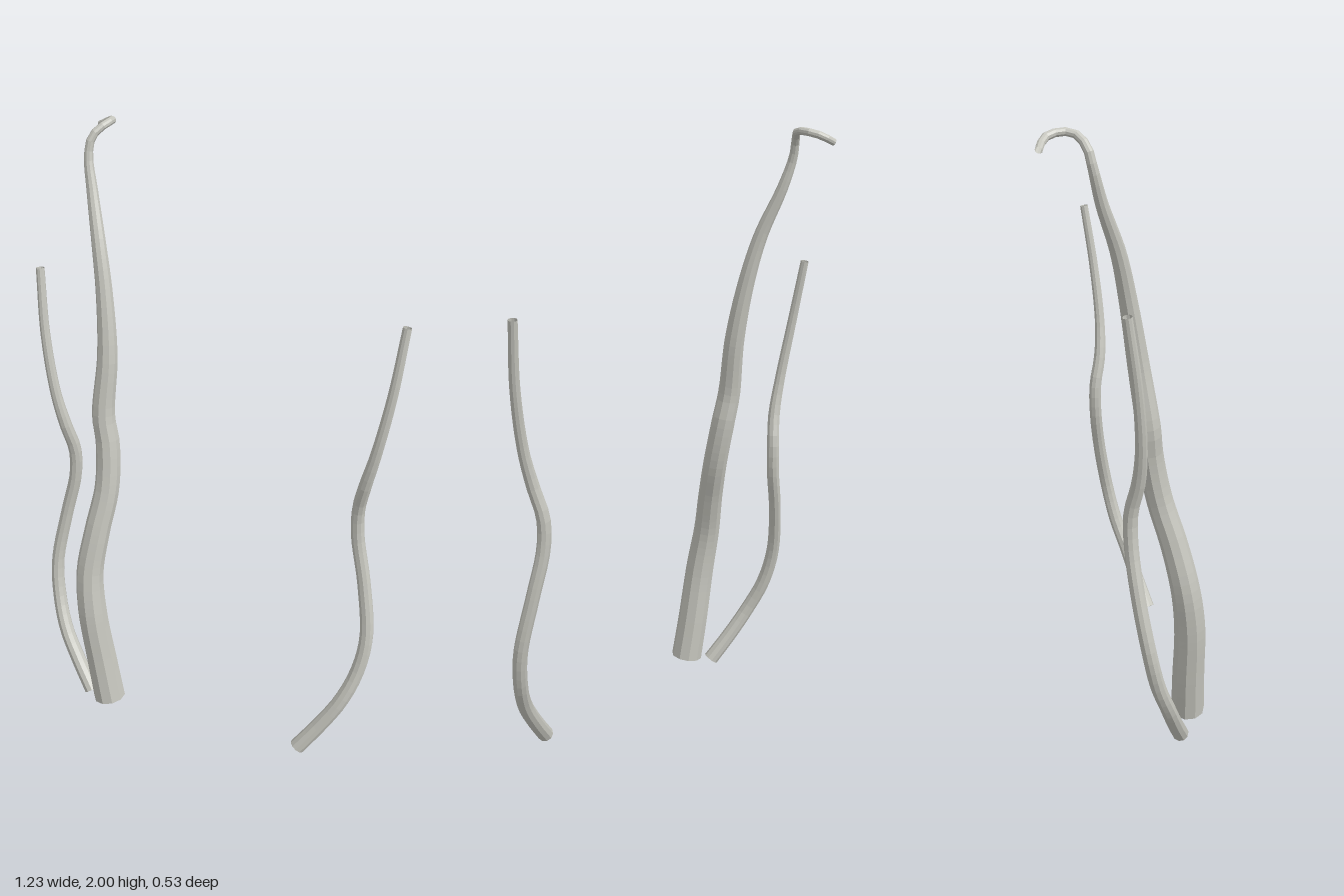
import * as THREE from 'three';

const paleGrey = new THREE.MeshStandardMaterial({ color: 0xc6c6be, flatShading: true, side: THREE.DoubleSide });
paleGrey.name = 'paleGrey';

// Tapered open tube through [x, y, z, radius] stations
function tendril(name, stations, segments, sides) {
  const curve = new THREE.CatmullRomCurve3(stations.map(([x, y, z]) => new THREE.Vector3(x, y, z)));
  curve.arcLengthDivisions = 600;
  const geo = new THREE.TubeGeometry(curve, segments, 1, sides);
  const pos = geo.attributes.position;
  const v = new THREE.Vector3();
  for (let i = 0; i <= segments; i++) {
    const u = i / segments;
    const centre = curve.getPointAt(u);
    const t = curve.getUtoTmapping(u) * (stations.length - 1);
    const k = Math.min(Math.floor(t), stations.length - 2);
    const radius = THREE.MathUtils.lerp(stations[k][3], stations[k + 1][3], t - k);
    for (let j = 0; j <= sides; j++) {
      const n = i * (sides + 1) + j;
      v.fromBufferAttribute(pos, n).sub(centre).multiplyScalar(radius).add(centre);
      pos.setXYZ(n, v.x, v.y, v.z);
    }
  }
  geo.computeVertexNormals();
  const mesh = new THREE.Mesh(geo, paleGrey);
  mesh.name = name;
  return mesh;
}

export function createModel() {
  const group = new THREE.Group();
  group.name = 'tendrils';

  // Tall thick tendril with a curled tip
  group.add(tendril('tallTendril', [
    [-0.30, 0.05, 0.21, 0.055],
    [-0.325, 0.2, 0.205, 0.053],
    [-0.355, 0.4, 0.2, 0.05],
    [-0.367, 0.55, 0.18, 0.046],
    [-0.35, 0.7, 0.145, 0.043],
    [-0.329, 0.85, 0.1, 0.041],
    [-0.334, 1.0, 0.07, 0.04],
    [-0.35, 1.1, 0.06, 0.038],
    [-0.342, 1.3, 0.03, 0.033],
    [-0.36, 1.5, -0.003, 0.027],
    [-0.388, 1.65, -0.035, 0.023],
    [-0.428, 1.8, -0.085, 0.018],
    [-0.448, 1.9, -0.11, 0.014],
    [-0.44, 1.955, -0.125, 0.013],
    [-0.413, 1.985, -0.155, 0.012],
    [-0.407, 1.988, -0.195, 0.012],
    [-0.43, 1.978, -0.235, 0.012],
    [-0.475, 1.955, -0.253, 0.011],
  ], 72, 10));

  // Mirrored pair of slender tendrils
  for (const [name, side] of [['rightTendril', -1], ['leftTendril', 1]]) {
    group.add(tendril(name, [
      [0.39, 0.018, 0.172, 0.027],
      [0.455, 0.11, 0.14, 0.026],
      [0.515, 0.21, 0.108, 0.025],
      [0.555, 0.32, 0.07, 0.024],
      [0.57, 0.45, 0.04, 0.023],
      [0.54, 0.64, 0.007, 0.022],
      [0.505, 0.8, -0.01, 0.022],
      [0.502, 0.9, -0.01, 0.022],
      [0.522, 1.0, 0.008, 0.021],
      [0.55, 1.12, 0.012, 0.018],
      [0.583, 1.32, -0.005, 0.016],
      [0.603, 1.535, -0.036, 0.014],
    ].map(([x, y, z, r]) => [x * side, y, z, r]), 44, 10));
  }
  return group;
}
